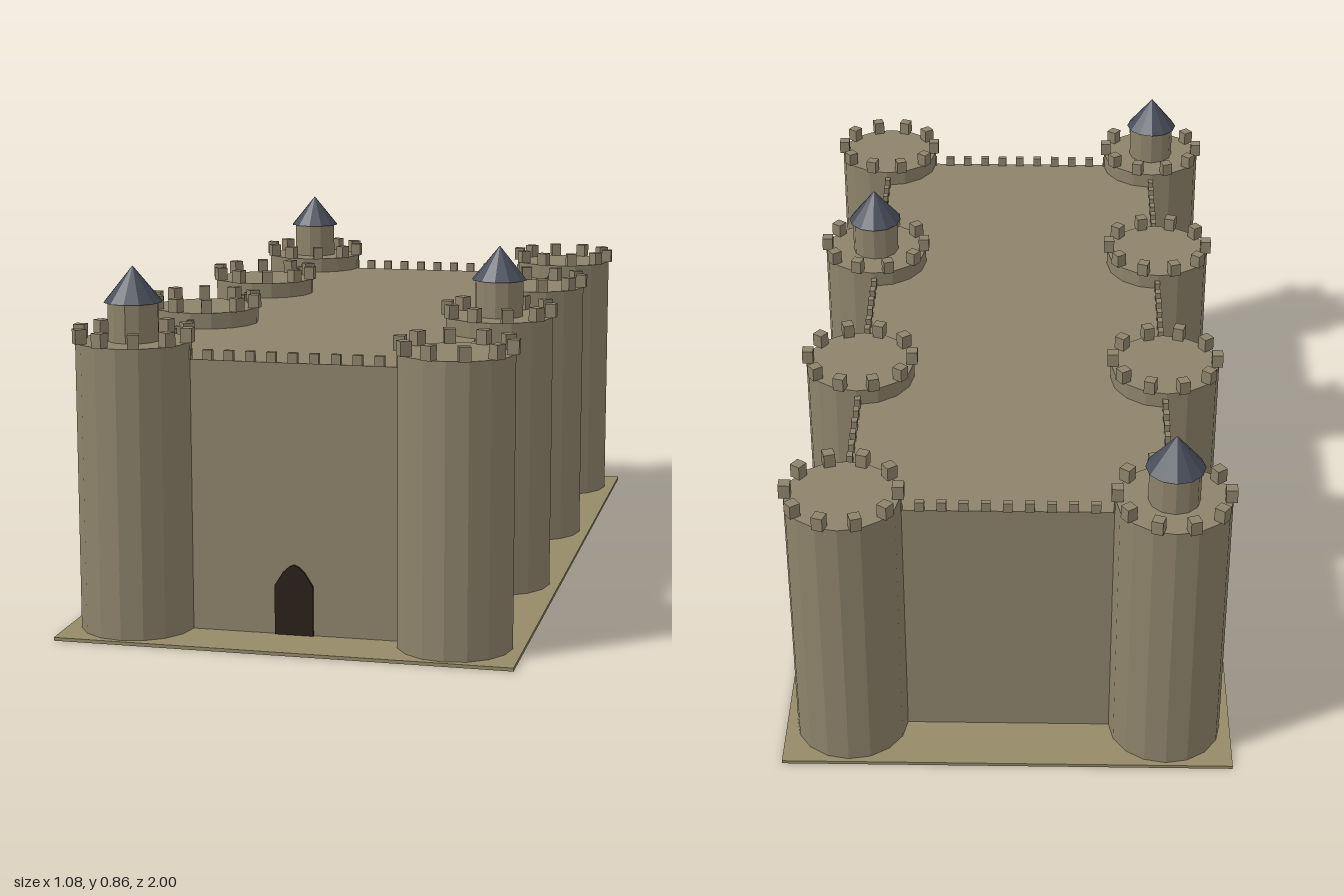
import * as THREE from 'three';

const mat = (color) => new THREE.MeshStandardMaterial({ color, flatShading: true });

export function createModel() {
  const castle = new THREE.Group();
  castle.name = 'castle';
  const stone = mat(0x8e836b), earth = mat(0x958a68), slate = mat(0x474c59), dark = mat(0x2a2019);

  function add(parent, name, geometry, material, x = 0, y = 0, z = 0, turn = 0) {
    const mesh = new THREE.Mesh(geometry, material);
    mesh.name = name;
    mesh.position.set(x, y, z);
    mesh.rotation.y = turn;
    parent.add(mesh);
    return mesh;
  }

  // Wall and tower layout
  const WX = 0.38, WZ = 0.855, BASE = 0.008, WALL_TOP = 0.65, TOWER_TOP = 0.69;
  const towerZ = [-0.855, -0.285, 0.285, 0.855];

  // Ground slab and solid keep
  add(castle, 'ground', new THREE.BoxGeometry(1.08, BASE, 2), earth, 0, BASE / 2, 0);
  add(castle, 'keep', new THREE.BoxGeometry(WX * 2, WALL_TOP - BASE, WZ * 2), stone,
    0, (WALL_TOP + BASE) / 2, 0);

  // Round towers with a ring of ten merlons
  const towerGeo = new THREE.CylinderGeometry(0.135, 0.135, TOWER_TOP - BASE, 16);
  const towerMerlon = new THREE.BoxGeometry(0.027, 0.034, 0.027);
  const turretGeo = new THREE.CylinderGeometry(0.06, 0.06, 0.09, 12);
  const roofGeo = new THREE.ConeGeometry(0.069, 0.084, 12);
  const turreted = ['-1,0', '1,2', '-1,3'];
  for (const side of [-1, 1]) {
    towerZ.forEach((z, i) => {
      const tower = new THREE.Group();
      tower.name = 'tower';
      tower.position.set(side * WX, 0, z);
      castle.add(tower);
      add(tower, 'towerBody', towerGeo, stone, 0, (TOWER_TOP + BASE) / 2, 0);
      for (let k = 0; k < 10; k++) {
        const a = (k / 10) * Math.PI * 2;
        add(tower, 'towerMerlon', towerMerlon, stone,
          0.13 * Math.cos(a), TOWER_TOP + 0.017, 0.13 * Math.sin(a), -a);
      }
      // Small turret with a pointed roof
      if (turreted.includes(`${side},${i}`)) {
        add(tower, 'turret', turretGeo, stone, 0, TOWER_TOP + 0.045, 0);
        add(tower, 'turretRoof', roofGeo, slate, 0, 0.822, 0);
      }
    });
  }

  // Wall merlons along all four walls
  const wallMerlon = new THREE.BoxGeometry(0.022, 0.024, 0.014);
  const merlonY = WALL_TOP + 0.012;
  for (const side of [-1, 1]) {
    for (let k = -5; k <= 5; k++) {
      add(castle, 'wallMerlon', wallMerlon, stone, k * 0.0507, merlonY, side * (WZ - 0.003));
    }
    for (const bay of [-0.57, 0, 0.57]) {
      for (let k = -3; k <= 3; k++) {
        add(castle, 'wallMerlon', wallMerlon, stone,
          side * (WX - 0.003), merlonY, bay + k * 0.048, Math.PI / 2);
      }
    }
  }

  // Arched windows, two per side bay
  const arch = new THREE.Shape();
  arch.moveTo(-0.019, 0);
  arch.lineTo(0.019, 0);
  arch.lineTo(0.019, 0.026);
  arch.absarc(0, 0.026, 0.019, 0, Math.PI, false);
  const windowGeo = new THREE.ExtrudeGeometry(arch,
    { depth: 0.012, bevelEnabled: false, curveSegments: 6 });
  for (const side of [-1, 1]) {
    for (const bay of [-0.555, 0, 0.555]) {
      for (const dz of [-0.093, 0.093]) {
        add(castle, 'window', windowGeo, dark,
          side * (WX - 0.006), 0.267, bay + dz, side * Math.PI / 2);
      }
    }
  }

  // Pointed front gate
  const gate = new THREE.Shape([
    [-0.046, 0], [0.046, 0], [0.046, 0.118], [0.026, 0.15], [0.012, 0.163],
    [0, 0.168], [-0.012, 0.163], [-0.026, 0.15], [-0.046, 0.118],
  ].map(([x, y]) => new THREE.Vector2(x, y)));
  add(castle, 'gate', new THREE.ExtrudeGeometry(gate, { depth: 0.012, bevelEnabled: false }),
    dark, 0, BASE, WZ - 0.006);

  return castle;
}
